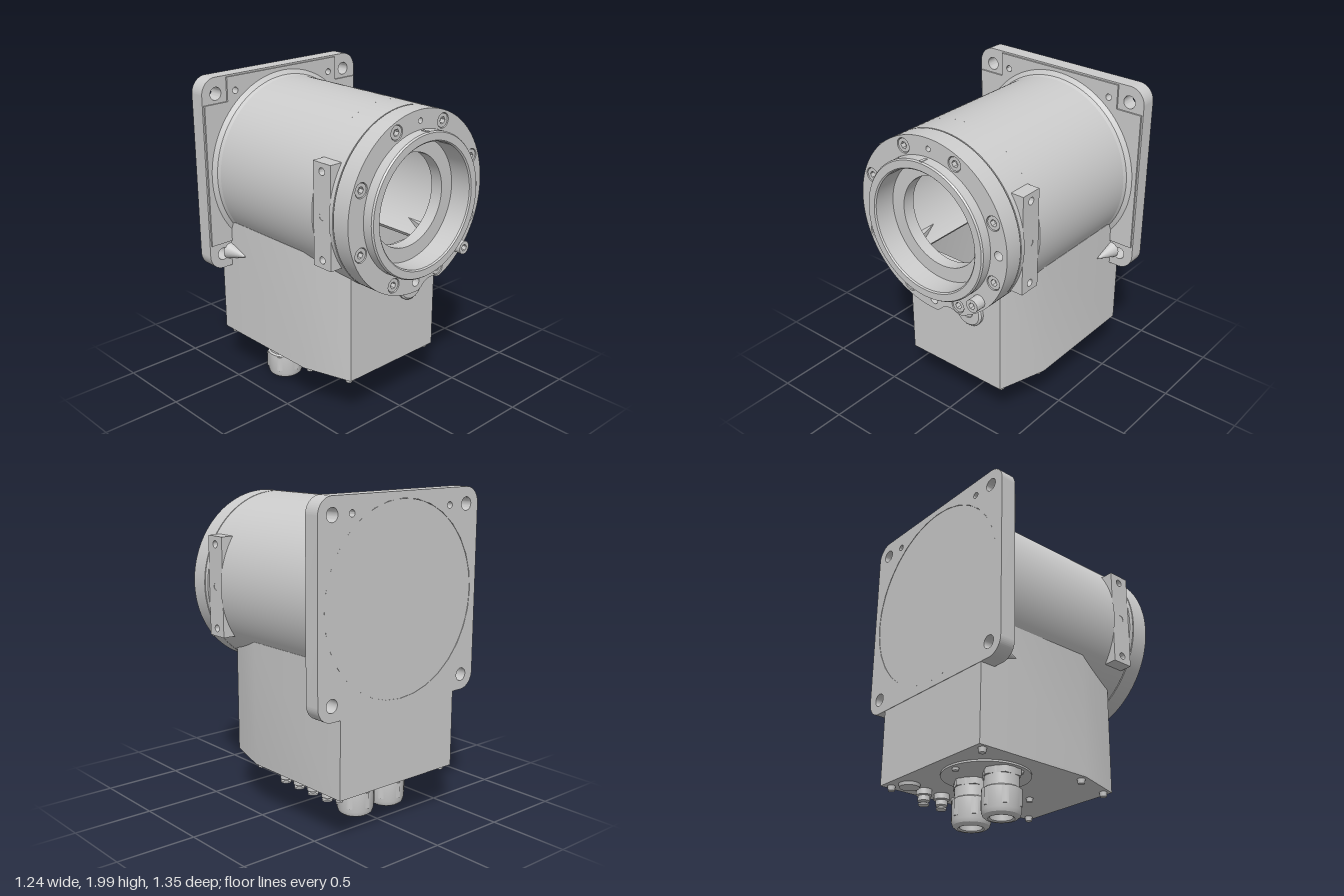
import * as THREE from 'three';
import { toCreasedNormals } from 'three/addons/utils/BufferGeometryUtils.js';

const AXIS = 1.385; // height of the barrel axis
const V = (x, y) => new THREE.Vector2(x, y);

export function createModel() {
  const model = new THREE.Group();
  const material = new THREE.MeshStandardMaterial({ color: 0xcccccc, side: THREE.DoubleSide });

  const add = (name, geometry, x = 0, y = 0, z = 0, parent = model) => {
    const mesh = new THREE.Mesh(geometry, material);
    mesh.name = name;
    mesh.position.set(x, y, z);
    parent.add(mesh);
    return mesh;
  };
  const extrude = (shape, depth, curveSegments = 32) =>
    toCreasedNormals(new THREE.ExtrudeGeometry(shape, { depth, bevelEnabled: false, curveSegments }), 0.5);
  const lathe = (pts, segments = 40) =>
    toCreasedNormals(new THREE.LatheGeometry(pts.map(p => V(...p)), segments), 0.5);
  const hole = (shape, x, y, r) => {
    shape.holes.push(new THREE.Path().absarc(x, y, r, 0, Math.PI * 2, true));
    return shape;
  };
  const cylZ = (r, d, n = 32) => new THREE.CylinderGeometry(r, r, d, n).rotateX(Math.PI / 2);

  // Round outline with side flats at x = +-flat and a scallop that clears the round cap
  const cap = V(0.13, -0.595);
  const barrelOutline = (flat = 1) => {
    const pts = [], d = cap.length(), a0 = cap.angle();
    for (let i = 0; i < 144; i++) {
      const a = i / 144 * Math.PI * 2;
      let r = Math.min(0.55, flat / Math.max(Math.abs(Math.cos(a)), 0.001));
      const off = d * Math.sin(a - a0);
      if (Math.cos(a - a0) > 0 && Math.abs(off) < 0.103) {
        r = Math.min(r, d * Math.cos(a - a0) - Math.sqrt(0.103 ** 2 - off * off));
      }
      pts.push(V(r * Math.cos(a), r * Math.sin(a)));
    }
    return new THREE.Shape(pts);
  };

  // Rear mounting flange with rounded corners and bolt holes
  const w = 0.62, h = 0.615, c = 0.1;
  const plate = new THREE.Shape();
  plate.absarc(w - c, h - c, c, 0, Math.PI / 2);
  plate.absarc(c - w, h - c, c, Math.PI / 2, Math.PI);
  plate.absarc(c - w, c - h, c, Math.PI, Math.PI * 1.5);
  plate.absarc(w - c, c - h, c, Math.PI * 1.5, Math.PI * 2);
  hole(plate, 0, 0, 0.575);
  for (const s of [-1, 1]) {
    hole(plate, s * 0.52, 0.515, 0.04);
    hole(plate, s * 0.52, -0.52, 0.04);
    hole(plate, s * 0.38, 0.515, 0.02);
  }
  add('rearFlange', extrude(plate, 0.1, 16), 0, AXIS, -0.675);
  add('rearCover', cylZ(0.572, 0.1, 96), 0, AXIS, -0.623);

  // Raised web on the flange, leaving the four bolt corners lower
  const web = new THREE.Shape([
    [0.44, -0.605], [0.44, -0.445], [0.61, -0.445], [0.61, 0.455], [0.44, 0.455], [0.44, 0.605],
    [-0.44, 0.605], [-0.44, 0.455], [-0.61, 0.455], [-0.61, -0.445], [-0.44, -0.445], [-0.44, -0.605],
  ].map(p => V(...p)));
  for (const s of [-1, 1]) hole(web, s * 0.38, 0.515, 0.02);
  add('flangeWeb', extrude(web, 0.012), 0, AXIS, -0.576);

  // Hollow barrel, open underneath into the terminal box
  const gap = 0.714;
  const sector = new THREE.Shape();
  sector.absarc(0, 0, 0.55, -Math.PI / 2 + gap, Math.PI * 1.5 - gap, false);
  sector.absarc(0, 0, 0.51, Math.PI * 1.5 - gap, -Math.PI / 2 + gap, true);
  add('barrel', extrude(sector, 0.885, 96), 0, AXIS, -0.57);
  add('barrelFillet', lathe([[0.55, -0.52], [0.557, -0.545], [0.585, -0.565]].reverse(), 96)
    .rotateX(Math.PI / 2), 0, AXIS, 0);
  add('padSection', extrude(hole(barrelOutline(0.535), 0, 0, 0.48), 0.14, 96), 0, AXIS, 0.315);
  add('barrelCollar', extrude(hole(barrelOutline(), 0, 0, 0.48), 0.028, 96), 0, AXIS, 0.455);

  // Front flange with counterbored bolts
  const front = hole(barrelOutline(), 0, 0, 0.43);
  const boltSpots = [];
  for (let i = 0; i < 8; i++) {
    const a = (i + 0.5) * Math.PI / 4;
    boltSpots.push([0.49 * Math.cos(a), 0.49 * Math.sin(a)]);
  }
  boltSpots.forEach(([x, y]) => hole(front, x, y, 0.045));
  hole(front, 0, 0.487, 0.016);
  hole(front, 0.49, 0, 0.028);
  hole(front, 0, -0.487, 0.028);
  add('frontFlange', extrude(front, 0.115, 24), 0, AXIS, 0.49);

  // Pilot ring, recess and bore
  add('pilotRing', lathe([
    [0.5, 0.45], [0.5, 0.5], [0.435, 0.5], [0.435, 0.665], [0.428, 0.675], [0.383, 0.675],
    [0.375, 0.667], [0.375, 0.53], [0.285, 0.53], [0.285, 0.45], [0.5, 0.45],
  ], 96).rotateX(Math.PI / 2), 0, AXIS, 0);
  add('pilotKey', new THREE.BoxGeometry(0.02, 0.02, 0.045), 0, AXIS + 0.428, 0.645);

  // Socket head bolts
  const head = new THREE.Shape().absarc(0, 0, 0.041, 0, Math.PI * 2);
  const hex = Array.from({ length: 6 }, (_, i) => V(0.022 * Math.cos(-i * Math.PI / 3), 0.022 * Math.sin(-i * Math.PI / 3)));
  head.holes.push(new THREE.Path(hex));
  const headGeometry = extrude(head, 0.03, 20);
  const bolt = (x, y, top) => {
    const group = new THREE.Group();
    group.name = 'frontBolt';
    group.position.set(x, y, top);
    add('boltHead', headGeometry, 0, 0, -0.03, group);
    add('boltShank', cylZ(0.041, 0.08, 24), 0, 0, -0.07, group);
    model.add(group);
  };
  boltSpots.forEach(([x, y]) => bolt(x, AXIS + y, 0.6));
  bolt(0.35, 1.035, 0.67);

  // Side pads with three holes each, and gussets behind the flange's lower corners
  const pad = new THREE.Shape([V(-0.07, -0.31), V(0.07, -0.31), V(0.07, 0.31), V(-0.07, 0.31)]);
  for (const y of [-0.26, 0, 0.26]) hole(pad, 0, y, 0.022);
  for (const s of [-1, 1]) {
    add('sidePad', extrude(pad, 0.097, 16).rotateY(s * Math.PI / 2), s * 0.44, AXIS, 0.385);
    add('gusset', new THREE.ConeGeometry(0.055, 0.16, 24).rotateX(Math.PI / 2), s * 0.46, 0.87, -0.5);
  }

  // Terminal box: hollow walls and a bottom plate, front corners tapered
  const foot = [[-0.455, -0.672], [0.455, -0.672], [0.455, 0.115], [0.358, 0.43], [-0.358, 0.43], [-0.455, 0.115]];
  const outline = k => foot.map(([x, z]) => V(x * k, -((z + 0.12) * k - 0.12)));
  const walls = new THREE.Shape(outline(1));
  walls.holes.push(new THREE.Path(outline(0.93)));
  add('boxWalls', extrude(walls, 0.765).rotateX(-Math.PI / 2), 0, 0.308, 0);
  add('boxBottom', extrude(new THREE.Shape(outline(1)), 0.013).rotateX(-Math.PI / 2), 0, 0.295, 0);

  // Round cap on the box front
  add('frontCap', lathe([[0.1, 0], [0.1, 0.018], [0.088, 0.028], [0.04, 0.03], [0.036, 0.026], [0, 0.026]])
    .rotateX(Math.PI / 2), cap.x, AXIS + cap.y, 0.43);

  // Cable glands on a round plate under the box
  add('glandPlate', new THREE.CylinderGeometry(0.26, 0.26, 0.012, 48), -0.1, 0.29, -0.33);
  for (const x of [-0.235, 0.027]) {
    const gland = new THREE.Group();
    gland.name = 'cableGland';
    gland.position.set(x, 0, -0.33);
    model.add(gland);
    add('glandBase', new THREE.CylinderGeometry(0.115, 0.115, 0.04, 6).toNonIndexed(), 0, 0.262, 0, gland);
    add('glandBody', lathe([
      [0, 0.09], [0.06, 0.09], [0.065, 0.015], [0.075, 0.008], [0.09, 0.01], [0.105, 0.022], [0.113, 0.045],
      [0.113, 0.17], [0.1, 0.178], [0.1, 0.29],
    ]), 0, 0, 0, gland);
    add('glandNut', new THREE.CylinderGeometry(0.122, 0.122, 0.1, 6), 0, 0.115, 0, gland);
  }

  // Row of small connectors, with a flat plug at each end
  for (const z of [-0.045, -0.175, -0.305, -0.435]) {
    add('smallConnector', lathe([
      [0, 0.2], [0.032, 0.2], [0.032, 0.21], [0.018, 0.212], [0.018, 0.22], [0.036, 0.225],
      [0.036, 0.255], [0.047, 0.26], [0.047, 0.296],
    ], 20), 0.345, 0, z);
  }
  add('flatPlug', new THREE.CylinderGeometry(0.065, 0.06, 0.022, 32), 0.32, 0.286, -0.56);
  add('hexPlug', new THREE.CylinderGeometry(0.045, 0.045, 0.03, 6), 0.345, 0.282, 0.09);

  // Screws of the bottom plate
  for (const s of [-1, 1]) {
    for (const [x, z] of [[0.415, -0.62], [0.41, 0.12], [0.33, 0.385]]) {
      add('bottomScrew', new THREE.CylinderGeometry(0.024, 0.02, 0.03, 16), s * x, 0.281, z);
    }
  }
  for (const [x, z] of [[0.04, 0.13], [-0.3, -0.25], [0.12, -0.2], [-0.1, -0.55]]) {
    add('plateScrew', new THREE.CylinderGeometry(0.022, 0.018, 0.025, 16), x, 0.281, z);
  }
  return model;
}
